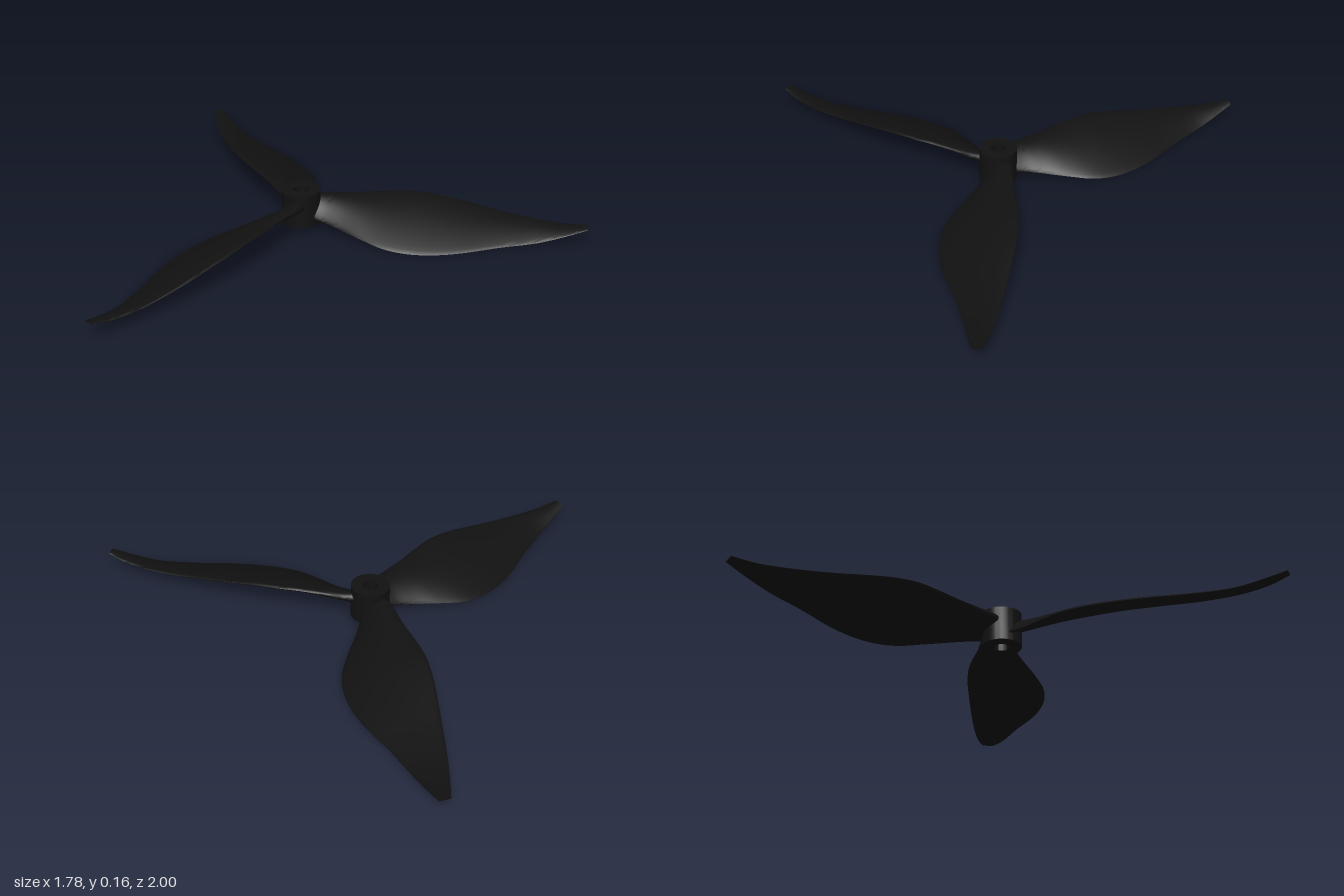
import * as THREE from 'three';
import { toCreasedNormals } from 'three/addons/utils/BufferGeometryUtils.js';

// Blade stations: radius, leading edge z, y, trailing edge z, y, thickness
const STATIONS = [
  [0.05, -0.055, 0.118, 0.052, 0.062, 0.052],
  [0.10, -0.062, 0.122, 0.072, 0.055, 0.046],
  [0.16, -0.065, 0.126, 0.105, 0.046, 0.040],
  [0.25, -0.070, 0.130, 0.160, 0.033, 0.034],
  [0.35, -0.082, 0.134, 0.210, 0.018, 0.030],
  [0.45, -0.089, 0.135, 0.227, 0.010, 0.028],
  [0.55, -0.084, 0.125, 0.221, 0.008, 0.026],
  [0.65, -0.070, 0.109, 0.200, 0.010, 0.024],
  [0.80, -0.045, 0.083, 0.152, 0.017, 0.021],
  [0.95, -0.016, 0.066, 0.115, 0.026, 0.017],
  [1.06, 0.012, 0.064, 0.095, 0.050, 0.013],
  [1.14, 0.036, 0.076, 0.081, 0.072, 0.007],
];
const SPANS = 60, HALF = 14;

// Smooth interpolation through the stations
const leading = new THREE.CatmullRomCurve3(STATIONS.map(s => new THREE.Vector3(s[0], s[2], s[1])));
const trailing = new THREE.CatmullRomCurve3(STATIONS.map(s => new THREE.Vector3(s[0], s[4], s[3])));
const thickness = new THREE.SplineCurve(STATIONS.map(s => new THREE.Vector2(s[0], s[5])));

// Twisted aerofoil loft running out along +x
function bladeGeometry() {
  const pos = [], idx = [], ring = HALF * 2;
  for (let i = 0; i <= SPANS; i++) {
    const u = i / SPANS;
    const a = leading.getPoint(u), b = trailing.getPoint(u), th = thickness.getPoint(u).y;
    for (let j = 0; j < ring; j++) {
      // over the top from leading to trailing edge, then back underneath
      const ang = (j / HALF) * Math.PI;
      const t = (1 - Math.cos(ang)) / 2;
      const p = a.clone().lerp(b, t);
      const camber = 0.3 * th * Math.sin(Math.PI * t);
      const bulge = 0.5 * th * Math.sin(ang) * (1.2 - 0.5 * t);
      pos.push(p.x, p.y + camber + bulge, p.z);
    }
  }
  for (let i = 0; i < SPANS; i++) {
    for (let j = 0; j < ring; j++) {
      const k = (j + 1) % ring;
      const p = i * ring + j, q = i * ring + k;
      idx.push(p, q, p + ring, p + ring, q, q + ring);
    }
  }
  // flat tip
  const last = SPANS * ring;
  for (let j = 1; j < ring - 1; j++) idx.push(last, last + j, last + j + 1);
  const g = new THREE.BufferGeometry();
  g.setAttribute('position', new THREE.Float32BufferAttribute(pos, 3));
  g.setIndex(idx);
  return toCreasedNormals(g, 0.9);
}

// Cylinder with a central bore
function hubGeometry() {
  const profile = [
    [0.03, 0.028], [0.078, 0.028], [0.078, 0.166], [0.03, 0.166], [0.03, 0.028],
  ].map(p => new THREE.Vector2(...p));
  return toCreasedNormals(new THREE.LatheGeometry(profile, 48), 0.6);
}

export function createModel() {
  const material = new THREE.MeshStandardMaterial({ color: 0x111111 });
  const propeller = new THREE.Group();
  propeller.name = 'propeller';
  propeller.position.set(-0.25, 0, 0.03);

  const hub = new THREE.Mesh(hubGeometry(), material);
  hub.name = 'hub';
  propeller.add(hub);

  const geometry = bladeGeometry();
  for (let i = 0; i < 3; i++) {
    const blade = new THREE.Mesh(geometry, material);
    blade.name = 'blade' + (i + 1);
    blade.rotation.y = (i * Math.PI * 2) / 3;
    propeller.add(blade);
  }

  const model = new THREE.Group();
  model.add(propeller);
  return model;
}
